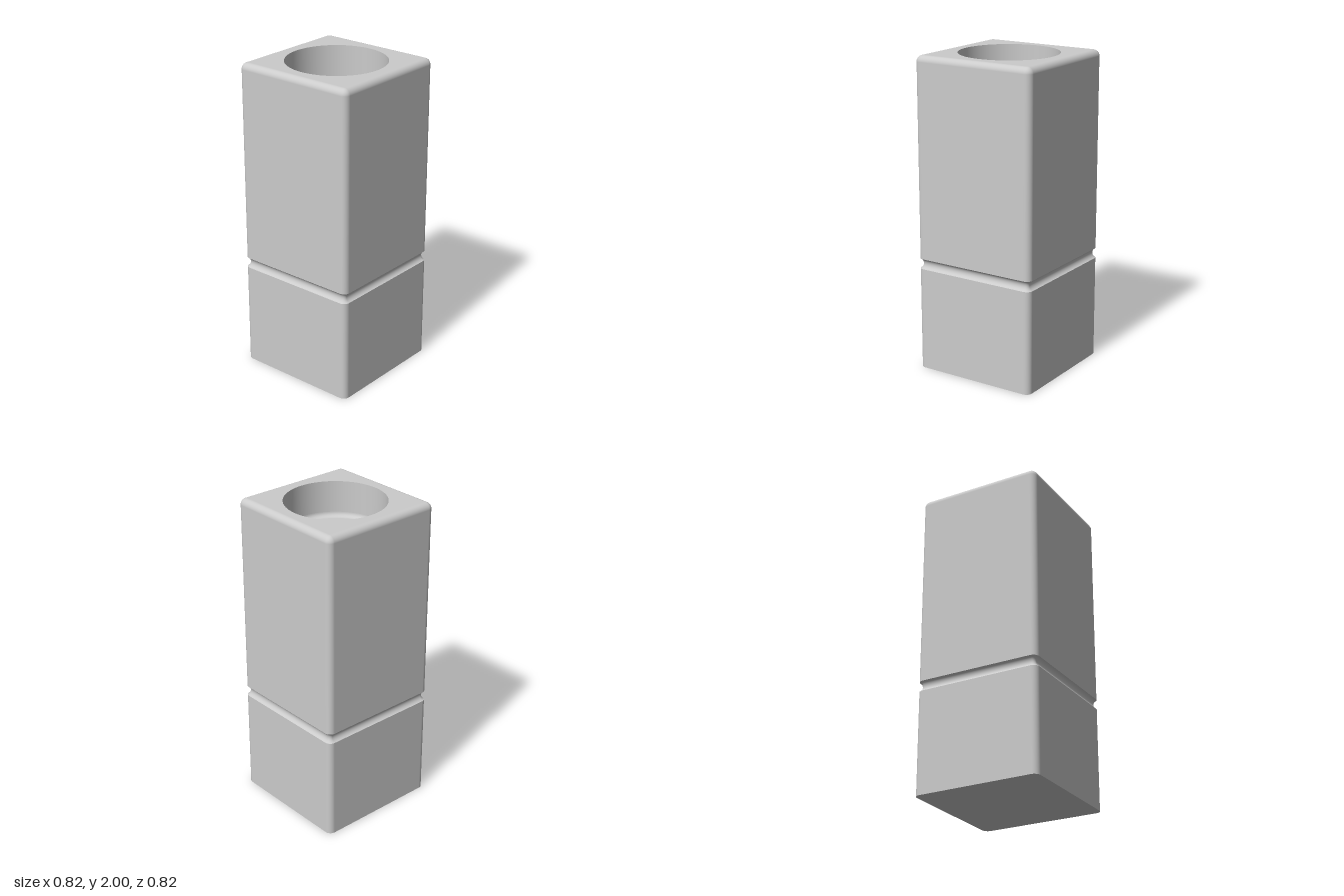
import * as THREE from 'three';

const HALF = 0.41, HEIGHT = 2, EDGE = 0.04;           // block half width, height, edge radius
const HOLE_R = 0.312, HOLE_DEPTH = 0.23, HOLE_FILLET = 0.03;
const GROOVE_Y = 0.693, GROOVE_HALF = 0.0325, GROOVE_DEPTH = 0.02;
const STEPS = 10;                                     // segments per quarter round

// Rounded-square outline inset by d; each point carries its outward direction
function outline(d) {
  const points = [];
  for (let corner = 0; corner < 4; corner++) {
    const mid = Math.PI / 4 + corner * Math.PI / 2;
    const cx = Math.sign(Math.cos(mid)) * (HALF - EDGE);
    const cz = Math.sign(Math.sin(mid)) * (HALF - EDGE);
    for (let i = 0; i <= STEPS; i++) {
      const a = (corner + i / STEPS) * Math.PI / 2;
      const nx = Math.cos(a), nz = Math.sin(a);
      points.push({ x: cx + nx * (EDGE - d), z: cz + nz * (EDGE - d), nx, nz });
    }
  }
  return points;
}

// Skin over stacked outlines; profile rows are [inset, y, outward normal, upward normal]
function skin(profile) {
  const position = [], normal = [], index = [];
  const count = 4 * (STEPS + 1);
  profile.forEach(([d, y, out, up], row) => {
    outline(d).forEach((p, i) => {
      position.push(p.x, y, p.z);
      normal.push(p.nx * out, up, p.nz * out);
      if (row === 0) return;
      const next = (i + 1) % count;
      const a = (row - 1) * count + i, b = (row - 1) * count + next;
      const c = row * count + i, e = row * count + next;
      index.push(a, c, b, b, c, e);
    });
  });
  const geometry = new THREE.BufferGeometry();
  geometry.setAttribute('position', new THREE.Float32BufferAttribute(position, 3));
  geometry.setAttribute('normal', new THREE.Float32BufferAttribute(normal, 3));
  geometry.setIndex(index);
  return geometry;
}

export function createModel() {
  const group = new THREE.Group();
  const material = new THREE.MeshStandardMaterial({ color: 0xcccccc });
  const add = (name, geometry) => {
    const mesh = new THREE.Mesh(geometry, material);
    mesh.name = name;
    group.add(mesh);
    return mesh;
  };

  // Straight lower walls
  add('lowerBlock', skin([[0, 0, 1, 0], [0, GROOVE_Y - GROOVE_HALF, 1, 0]]));

  // Shallow round groove running around the block
  const radius = (GROOVE_HALF ** 2 + GROOVE_DEPTH ** 2) / (2 * GROOVE_DEPTH);
  const sweep = Math.asin(GROOVE_HALF / radius);
  const groove = [];
  for (let i = 0; i <= 16; i++) {
    const a = sweep * (i / 8 - 1);
    const inset = radius * Math.cos(a) - (radius - GROOVE_DEPTH);
    groove.push([inset, GROOVE_Y + radius * Math.sin(a), Math.cos(a), -Math.sin(a)]);
  }
  add('groove', skin(groove));

  // Upper walls ending in a rounded top edge
  const upper = [[0, GROOVE_Y + GROOVE_HALF, 1, 0]];
  for (let i = 0; i <= STEPS; i++) {
    const a = i / STEPS * Math.PI / 2;
    upper.push([EDGE * (1 - Math.cos(a)), HEIGHT - EDGE * (1 - Math.sin(a)), Math.cos(a), Math.sin(a)]);
  }
  add('upperBlock', skin(upper));

  // Flat top with the round opening
  const flat = HALF - EDGE;
  const topShape = new THREE.Shape([[-1, -1], [1, -1], [1, 1], [-1, 1]]
    .map(([x, y]) => new THREE.Vector2(x * flat, y * flat)));
  topShape.holes.push(new THREE.Path().absarc(0, 0, HOLE_R, 0, Math.PI * 2, true));
  const top = add('topFace', new THREE.ShapeGeometry(topShape, 48));
  top.rotation.x = -Math.PI / 2;
  top.position.y = HEIGHT;

  // Round recess: straight wall and filleted floor
  const floorY = HEIGHT - HOLE_DEPTH;
  add('recessWall', new THREE.CylinderGeometry(HOLE_R, HOLE_R, HOLE_DEPTH - HOLE_FILLET, 96, 1, true))
    .position.y = HEIGHT - (HOLE_DEPTH - HOLE_FILLET) / 2;
  const fillet = [];
  for (let i = 0; i <= STEPS; i++) {
    const a = i / STEPS * Math.PI / 2;
    fillet.push(new THREE.Vector2(
      HOLE_R - HOLE_FILLET * (1 - Math.cos(a)),
      floorY + HOLE_FILLET * (1 - Math.sin(a))));
  }
  add('recessFillet', new THREE.LatheGeometry(fillet, 96));
  const floor = add('recessFloor', new THREE.CircleGeometry(HOLE_R - HOLE_FILLET, 96));
  floor.rotation.x = -Math.PI / 2;
  floor.position.y = floorY;

  // Inner surfaces of the recess face inwards
  const inside = material.clone();
  inside.side = THREE.DoubleSide;
  for (const mesh of group.children) {
    if (mesh.name === 'recessWall' || mesh.name === 'recessFillet') mesh.material = inside;
  }

  // Flat underside
  const baseShape = new THREE.Shape(outline(0).map(p => new THREE.Vector2(p.x, p.z)));
  add('underside', new THREE.ShapeGeometry(baseShape)).rotation.x = Math.PI / 2;

  return group;
}
